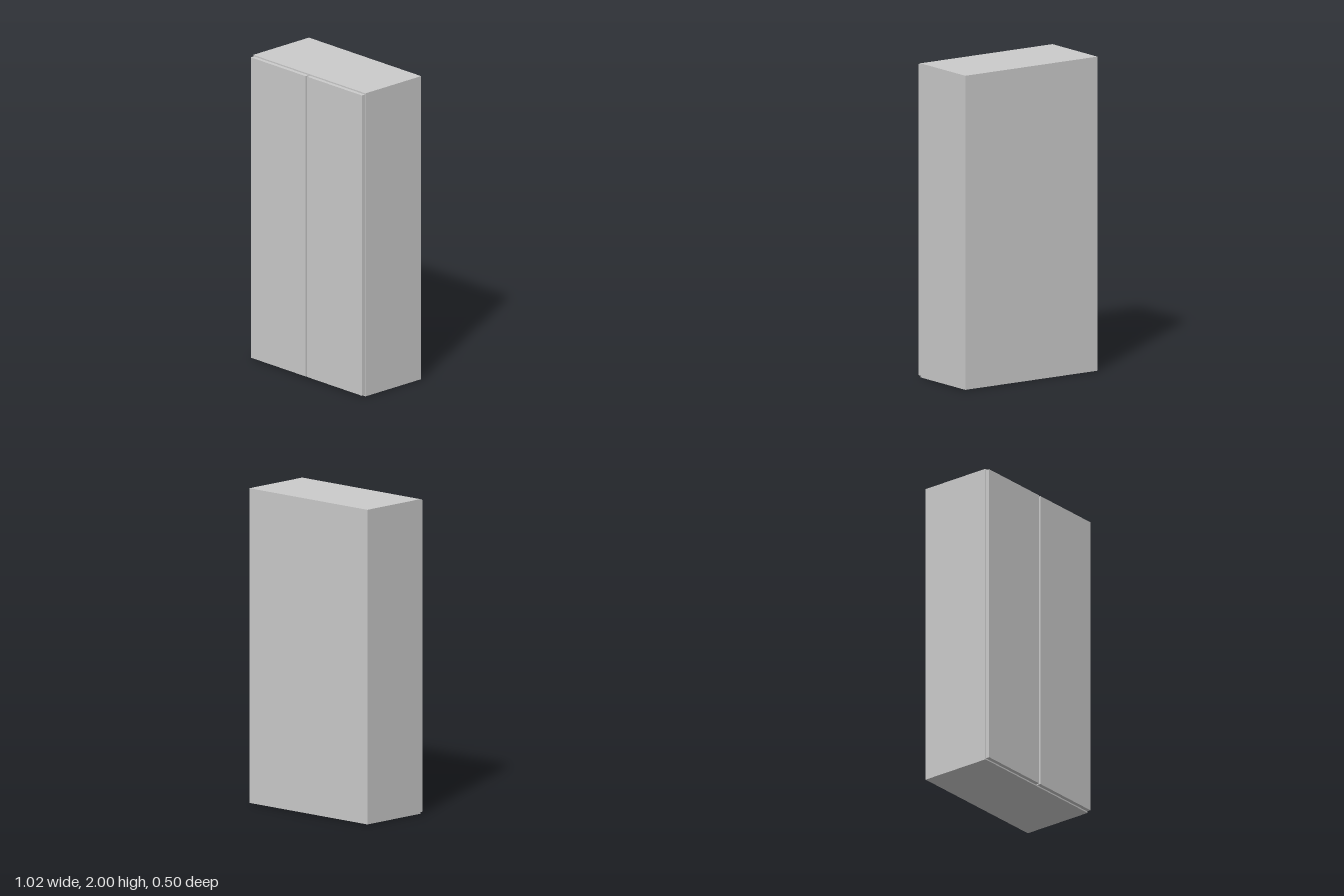
import * as THREE from 'three';

export function createModel() {
  const model = new THREE.Group();
  model.name = 'wardrobe';
  const material = new THREE.MeshStandardMaterial({ color: 0xcccccc });

  // Axis-aligned panel given by its extents
  function panel(name, [x0, x1], [y0, y1], [z0, z1]) {
    const mesh = new THREE.Mesh(new THREE.BoxGeometry(x1 - x0, y1 - y0, z1 - z0), material);
    mesh.position.set((x0 + x1) / 2, (y0 + y1) / 2, (z0 + z1) / 2);
    mesh.name = name;
    model.add(mesh);
  }

  const W = 0.508, H = 2, back = -0.253, front = 0.226, doorFront = 0.252;
  const wall = 0.035, backWall = 0.015, shelf = 0.015;
  const inner = W - wall;

  // Carcass: sides, top, bottom and back
  panel('leftSide', [inner, W], [0, H], [back, front]);
  panel('rightSide', [-W, -inner], [0, H], [back, front]);
  panel('bottomPanel', [-inner, inner], [0, wall], [back, front]);
  panel('topPanel', [-inner, inner], [H - wall, H], [back, front]);
  panel('backPanel', [-inner, inner], [wall, H - wall], [back, back + backWall]);

  // Five evenly spaced shelves, visible through the gap between the doors
  for (let i = 0; i < 5; i++) {
    const y = 0.35 + i * 0.327;
    panel('shelf' + (i + 1), [-inner, inner], [y - shelf / 2, y + shelf / 2], [back + backWall, front - 0.005]);
  }

  // Two doors laid on the front with a narrow reveal all round
  panel('leftDoor', [0.006, 0.503], [0.009, 1.991], [front, doorFront]);
  panel('rightDoor', [-0.503, -0.006], [0.009, 1.991], [front, doorFront]);

  return model;
}
